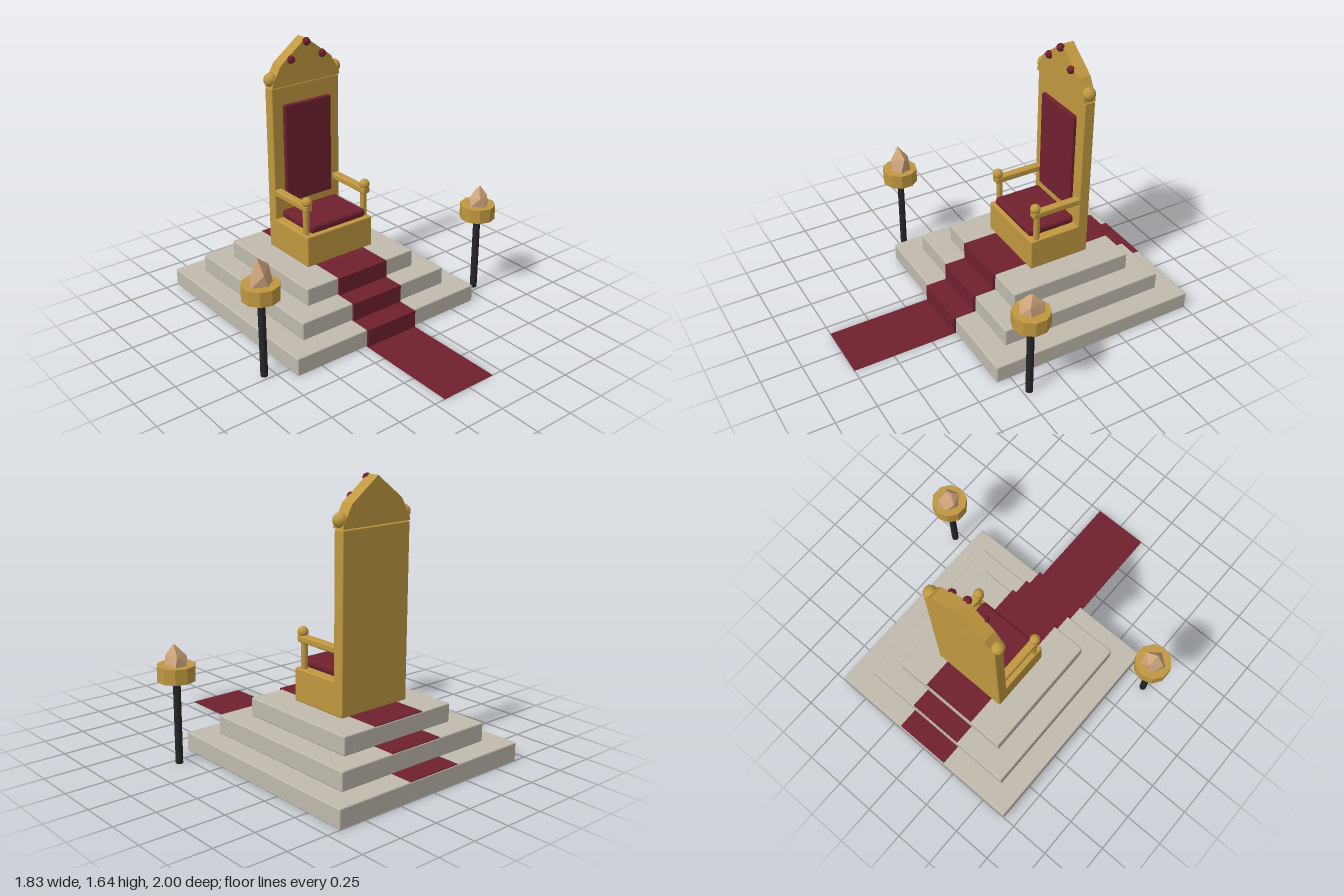
import * as THREE from 'three';
import { RoundedBoxGeometry } from 'three/addons/geometries/RoundedBoxGeometry.js';
import { ConvexGeometry } from 'three/addons/geometries/ConvexGeometry.js';

export function createModel() {
  const root = new THREE.Group();
  root.name = 'throneOnDais';

  const material = (name, color) => {
    const m = new THREE.MeshStandardMaterial({ color });
    m.name = name;
    return m;
  };
  const gold = material('gold', 0xc09840);
  const stone = material('stone', 0xc0baae);
  const red = material('redCloth', 0x70202e);
  const iron = material('blackIron', 0x26262a);
  const flame = material('flame', 0xcfa67c);

  const add = (name, geometry, mat, x = 0, y = 0, z = 0, parent = root) => {
    const mesh = new THREE.Mesh(geometry, mat);
    mesh.name = name;
    mesh.position.set(x, y, z);
    parent.add(mesh);
    return mesh;
  };
  // Box given by its limits on each axis, with an optional rounded edge
  const box = (name, mat, [x0, x1], [y0, y1], [z0, z1], radius = 0, parent = root) => {
    const size = [x1 - x0, y1 - y0, z1 - z0];
    const geometry = radius
      ? new RoundedBoxGeometry(...size, 2, radius)
      : new THREE.BoxGeometry(...size);
    return add(name, geometry, mat, (x0 + x1) / 2, (y0 + y1) / 2, (z0 + z1) / 2, parent);
  };
  const flat = (geometry) => {
    const g = geometry.toNonIndexed();
    g.computeVertexNormals();
    return g;
  };

  // Dais: three steps, each dressed with carpet on its tread and front riser
  const steps = [
    { half: 0.67, y0: 0, y1: 0.112, z0: -1, z1: 0.34 },
    { half: 0.535, y0: 0.112, y1: 0.225, z0: -0.865, z1: 0.205 },
    { half: 0.4, y0: 0.225, y1: 0.337, z0: -0.73, z1: 0.07 },
  ];
  for (const s of steps) {
    box('step', stone, [-s.half, s.half], [s.y0, s.y1], [s.z0, s.z1], 0.008);
    box('stepCarpet', red, [-0.18, 0.18], [s.y0 + 0.003, s.y1 + 0.003], [s.z0 + 0.003, s.z1 + 0.015]);
  }
  box('floorCarpet', red, [-0.18, 0.18], [0, 0.004], [0.335, 1]);

  // Throne body
  const throne = new THREE.Group();
  throne.name = 'throne';
  root.add(throne);
  box('seatBase', gold, [-0.245, 0.245], [0.34, 0.537], [-0.53, -0.137], 0.008, throne);
  box('backrest', gold, [-0.245, 0.245], [0.34, 1.372], [-0.535, -0.465], 0.008, throne);
  box('seatCushion', red, [-0.205, 0.205], [0.54, 0.595], [-0.46, -0.147], 0.022, throne);
  box('backCushion', red, [-0.17, 0.17], [0.635, 1.26], [-0.475, -0.442], 0.01, throne);

  // Pointed crest above the backrest
  const crest = new THREE.Shape([
    [-0.245, 1.375], [0.245, 1.375], [0.24, 1.4], [0.18, 1.505],
    [0, 1.64], [-0.18, 1.505], [-0.24, 1.4],
  ].map(([x, y]) => new THREE.Vector2(x, y)));
  add('crest', new THREE.ExtrudeGeometry(crest, { depth: 0.08, bevelEnabled: false }),
    gold, 0, 0, -0.535, throne);

  // Jewels on the crest
  for (const [x, y] of [[0, 1.62], [-0.112, 1.53], [0.112, 1.53]]) {
    add('jewel', new THREE.SphereGeometry(0.025, 8, 6), red, x, y, -0.45, throne);
  }

  // Armrests, posts and knobs on both sides
  for (const side of [-1, 1]) {
    const x = side * 0.217;
    add('crestKnob', new THREE.SphereGeometry(0.042, 10, 8), gold, side * 0.23, 1.42, -0.495, throne);
    box('armrest', gold, [x - 0.025, x + 0.025], [0.69, 0.732], [-0.475, -0.152], 0.01, throne);
    add('armPost', new THREE.CylinderGeometry(0.02, 0.02, 0.17, 8), gold, x, 0.615, -0.187, throne);
    add('armKnob', new THREE.SphereGeometry(0.032, 10, 8), gold, x, 0.748, -0.175, throne);
  }

  // Standing braziers with faceted flames; points are relative to the bowl rim
  const flames = {
    left: [
      [-0.068, 0, 0.01], [-0.03, 0, -0.065], [0.045, 0, -0.065], [0.055, 0, 0.03], [0, 0, 0.075],
      [-0.06, 0.045, -0.02], [0.03, 0.06, -0.06], [0.045, 0.06, 0.035], [-0.035, 0.06, 0.055],
      [0.012, 0.123, 0.0], [-0.012, 0.105, 0.015],
    ],
    right: [
      [-0.075, 0, 0.02], [-0.04, 0, -0.055], [0.05, 0, -0.055], [0.068, 0, 0.02], [0.01, 0, 0.06],
      [-0.065, 0.06, 0.0], [0.0, 0.075, -0.06], [0.062, 0.095, -0.01], [-0.01, 0.07, 0.055],
      [-0.015, 0.157, 0.0],
    ],
  };
  for (const [name, side] of [['left', 1], ['right', -1]]) {
    const brazier = new THREE.Group();
    brazier.name = name + 'Brazier';
    brazier.position.set(side * 0.81, 0, 0.212);
    root.add(brazier);
    add('pole', new THREE.CylinderGeometry(0.022, 0.022, 0.5, 8), iron, 0, 0.25, 0, brazier);
    add('bowl', flat(new THREE.CylinderGeometry(0.11, 0.11, 0.09, 10)), gold, 0, 0.54, 0, brazier);
    const points = flames[name].map((p) => new THREE.Vector3(...p));
    add('flame', new ConvexGeometry(points), flame, 0, 0.583, 0, brazier);
  }

  return root;
}
